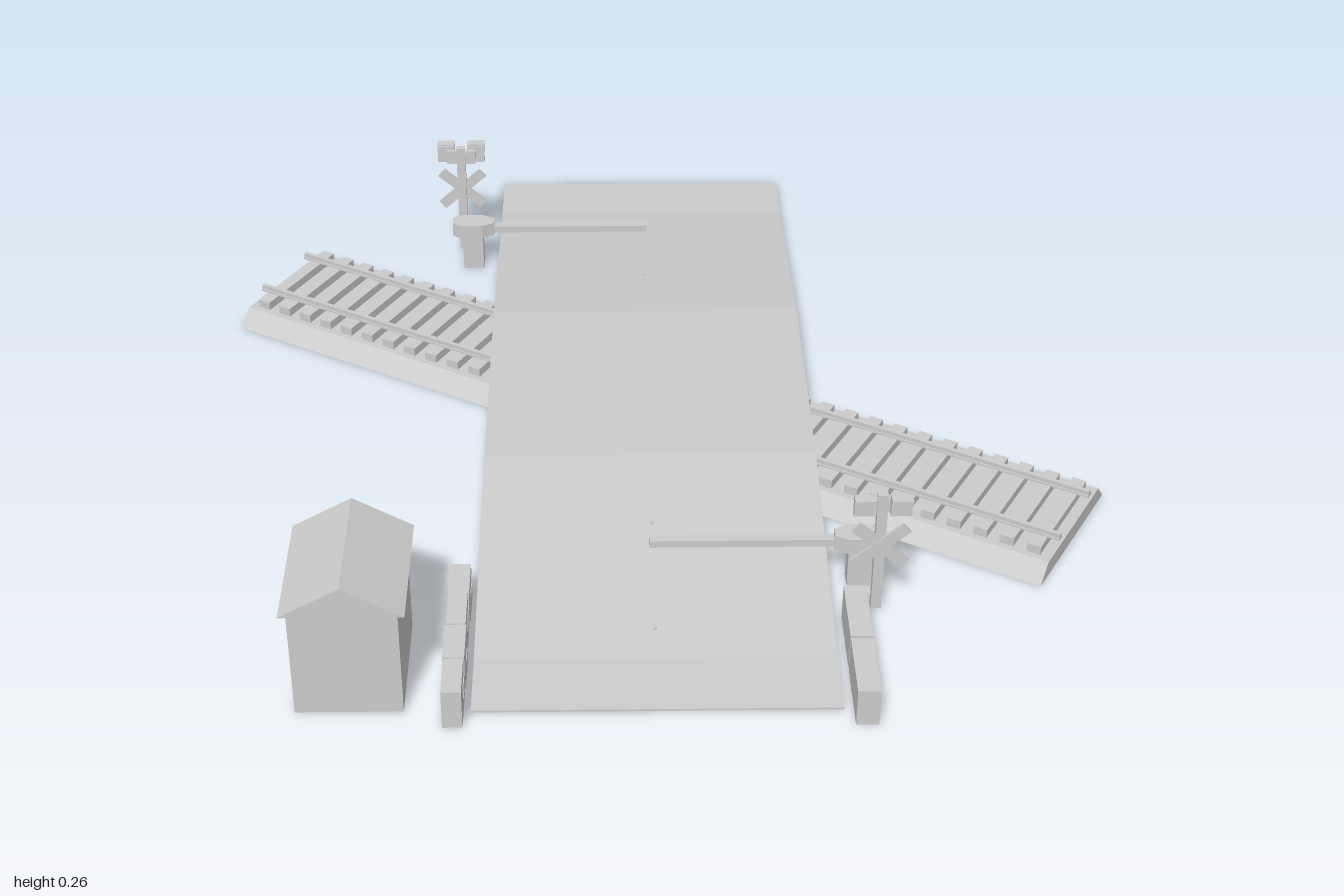
import * as THREE from 'three';

const grey = new THREE.MeshStandardMaterial({ color: 0xcccccc, flatShading: true });
grey.name = 'plain grey';

function add(parent, geo, name, x = 0, y = 0, z = 0) {
  const m = new THREE.Mesh(geo, grey);
  m.name = name;
  m.position.set(x, y, z);
  parent.add(m);
  return m;
}

const box = (parent, name, w, h, d, x, y, z) =>
  add(parent, new THREE.BoxGeometry(w, h, d), name, x, y, z);

// Extrude a 2D outline, centred along its depth
function prism(points, depth) {
  const shape = new THREE.Shape(points.map(p => new THREE.Vector2(p[0], p[1])));
  const g = new THREE.ExtrudeGeometry(shape, { depth, bevelEnabled: false });
  return g.translate(0, 0, -depth / 2);
}

function group(parent, name, x = 0, y = 0, z = 0) {
  const g = new THREE.Group();
  g.name = name;
  g.position.set(x, y, z);
  parent.add(g);
  return g;
}

// Straight railway: ballast bed, sleepers and two rails
function buildTrack(parent) {
  const track = group(parent, 'track', 0, 0, -0.08);
  const bed = prism([[-0.155, 0], [0.155, 0], [0.125, 0.033], [-0.125, 0.033]], 1.73);
  bed.rotateY(Math.PI / 2);
  add(track, bed, 'ballast');
  for (let i = 0; i < 34; i++) {
    box(track, 'sleeper', 0.026, 0.018, 0.226, -0.835 + i * 0.0505, 0.041, 0);
  }
  for (const s of [-1, 1]) {
    box(track, 'rail', 1.73, 0.004, 0.014, 0, 0.051, s * 0.073);
    box(track, 'rail', 1.73, 0.01, 0.008, 0, 0.056, s * 0.073);
  }
}

// Road with a ramp at either end
function buildRoad(parent) {
  const g = prism([[-0.887, 0], [0.887, 0], [0.887, 0.004], [0.76, 0.006],
    [0.25, 0.062], [-0.25, 0.062], [-0.76, 0.006], [-0.887, 0.004]], 0.61);
  g.rotateY(-Math.PI / 2);
  add(parent, g, 'road');
}

// Lifting barrier and crossing signal at one road side
function buildGuard(parent) {
  const barrier = group(parent, 'barrier', 0.358, 0, 0.547);
  box(barrier, 'barrierPost', 0.042, 0.08, 0.036, 0, 0.04, 0);
  const head = prism([[-0.045, -0.01], [-0.02, -0.023], [0.025, -0.023], [0.042, -0.012],
    [0.042, 0.012], [0.025, 0.023], [-0.02, 0.023], [-0.045, 0.01]], 0.03);
  head.rotateX(-Math.PI / 2);
  add(barrier, head, 'barrierHead', 0, 0.09, 0);
  for (let i = 0; i < 5; i++) {
    box(barrier, 'armSection', 0.067, 0.014, 0.018, -0.332 + i * 0.066, 0.088, 0);
  }

  const signal = group(parent, 'signal', 0.382, 0, 0.619);
  box(signal, 'signalPost', 0.018, 0.24, 0.014, 0, 0.12, 0);
  for (const s of [-1, 1]) {
    const board = box(signal, 'crossBoard', 0.115, 0.021, 0.006, 0, 0.138, 0.009 + s * 0.001);
    board.rotation.z = s * 0.72;
    // Lamp with a small hood
    box(signal, 'lamp', 0.036, 0.036, 0.012, s * 0.031, 0.222, 0.01);
    box(signal, 'lampHood', 0.036, 0.005, 0.02, s * 0.031, 0.24, 0.018);
  }
  box(signal, 'lampBracket', 0.06, 0.03, 0.008, 0, 0.218, 0);

  // Small studs on the centre line of the ramp
  const stud = (z, y) => {
    box(parent, 'roadStud', 0.006, 0.012, 0.012, 0, y, z);
  };
  stud(0.43, 0.04);
  stud(0.69, 0.012);
}

// Gabled hut
function buildHut(parent) {
  const hut = group(parent, 'hut', -0.503, 0, 0.772);
  box(hut, 'walls', 0.178, 0.206, 0.222, 0, 0.103, 0);
  add(hut, prism([[-0.101, 0.205], [0.101, 0.205], [0, 0.262]], 0.242), 'roof');
}

// Low wall of staggered stone courses
function buildStoneWall(parent) {
  const wall = group(parent, 'stoneWall', -0.333, 0, 0.752);
  for (let row = 0; row < 3; row++) {
    const odd = row % 2;
    const edges = odd ? [-0.173, -0.13, -0.043, 0.043, 0.13, 0.173]
      : [-0.173, -0.087, 0, 0.087, 0.173];
    for (let i = 0; i < edges.length - 1; i++) {
      const length = edges[i + 1] - edges[i] - 0.003;
      const top = row === 2 && i === 0 ? 0.018 : 0.025;
      box(wall, 'stone', 0.036 - 0.003 * ((i + row) % 2), top, length,
        0, row * 0.025 + top / 2, (edges[i] + edges[i + 1]) / 2);
    }
  }
}

export function createModel() {
  const model = new THREE.Group();
  model.name = 'levelCrossing';
  buildTrack(model);

  // Everything aligned with the road crosses the track at an angle
  const roadside = group(model, 'roadside', -0.005, 0, -0.08);
  roadside.rotation.y = Math.PI / 6;
  buildRoad(roadside);
  for (const turn of [0, Math.PI]) {
    const guard = group(roadside, turn ? 'rearGuard' : 'frontGuard');
    guard.rotation.y = turn;
    buildGuard(guard);
  }
  for (const z of [0.718, 0.857]) {
    box(roadside, 'concreteBlock', 0.038, 0.07, 0.134, 0.34, 0.035, z);
  }
  buildStoneWall(roadside);
  buildHut(roadside);
  return model;
}
